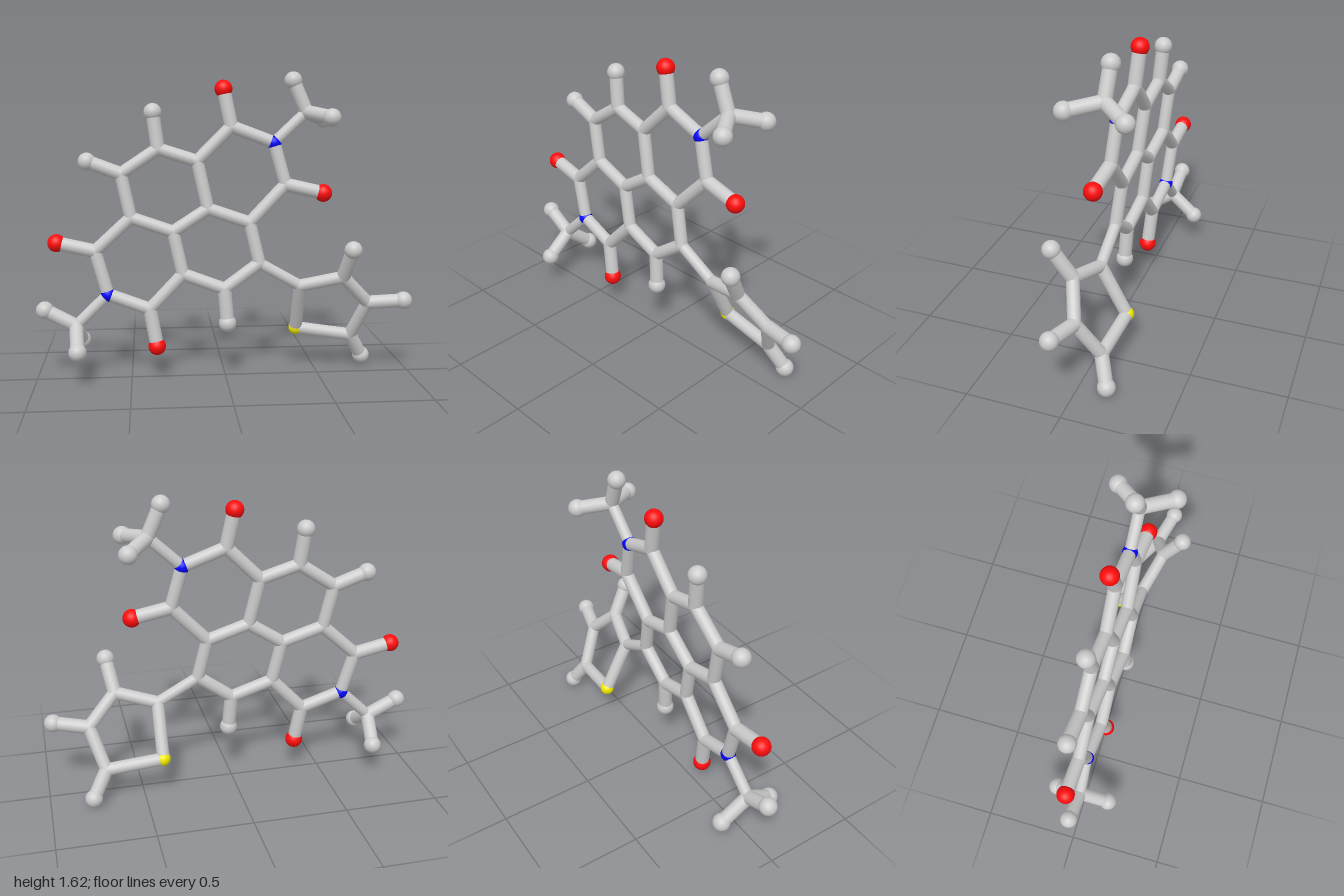
import * as THREE from 'three';

// Atom positions, grouped by kind
const joints = {
  c5: [0.035, 1.335, -0.04], c6: [0.32, 1.03, -0.015], c7: [0.13, 0.83, -0.005],
  c8: [-0.09, 0.905, -0.015], c9: [-0.145, 1.155, -0.035], c10: [-0.35, 1.22, -0.045],
  c11: [-0.545, 1.09, -0.045], c12: [-0.495, 0.86, -0.03], c13: [-0.275, 0.785, -0.015],
  c14: [-0.225, 0.56, 0], c15: [-0.005, 0.48, 0.015], c16: [0.18, 0.615, 0.012],
  c17: [-0.685, 0.685, -0.03], c18: [-0.4, 0.375, 0],
  m1: [0.43, 1.41, -0.03], m2: [-0.79, 0.29, -0.01],
  ta: [0.4, 0.49, 0.015], tb: [0.62, 0.545, 0.075], tc: [0.77, 0.39, 0.01], td: [0.7, 0.185, -0.1],
};
const nitrogens = { n1: [0.26, 1.25, -0.03], n2: [-0.62, 0.455, -0.015] };
const sulfurs = { s: [0.4, 0.225, -0.125] };
const oxygens = {
  o5: [-0.005, 1.53, -0.053], o6: [0.52, 0.985, 0], o17: [-0.885, 0.73, -0.037], o18: [-0.365, 0.175, 0.014],
};
const hydrogens = {
  h10: [-0.375, 1.41, -0.058], h11: [-0.72, 1.155, -0.055], h15: [0.01, 0.295, 0.025],
  h1a: [0.36, 1.573, -0.037], h1b: [0.535, 1.385, 0.13], h1c: [0.545, 1.37, -0.172],
  h2a: [-0.953, 0.375, -0.02], h2b: [-0.775, 0.188, 0.145], h2c: [-0.77, 0.175, -0.155],
  htb: [0.65, 0.705, 0.17], htc: [0.952, 0.41, 0.06], htd: [0.777, 0.052, -0.152],
};

// Bonds by kind: rings, thin links between groups, and outward stubs
const rings = [
  ['c7', 'c8', 'c13', 'c14', 'c15', 'c16'], ['c8', 'c9', 'c10', 'c11', 'c12', 'c13'],
  ['c5', 'n1', 'c6', 'c7', 'c8', 'c9'], ['c12', 'c17', 'n2', 'c18', 'c14', 'c13'],
  ['ta', 'tb', 'tc', 'td', 's'],
];
const links = [['n1', 'm1'], ['n2', 'm2'], ['c16', 'ta']];
const stubs = [
  ['c5', 'o5'], ['c6', 'o6'], ['c17', 'o17'], ['c18', 'o18'],
  ['c10', 'h10'], ['c11', 'h11'], ['c15', 'h15'], ['tb', 'htb'], ['tc', 'htc'], ['td', 'htd'],
  ...['a', 'b', 'c'].flatMap((k) => [['m1', 'h1' + k], ['m2', 'h2' + k]]),
];

export function createModel() {
  const model = new THREE.Group();
  const grey = new THREE.MeshStandardMaterial({ color: 0xcccccc });
  const red = new THREE.MeshStandardMaterial({ color: 0xff0d0d });
  const blue = new THREE.MeshStandardMaterial({ color: 0x0505ff });
  const yellow = new THREE.MeshStandardMaterial({ color: 0xf0e800 });
  const atoms = {};

  // Balls of one kind
  const addAtoms = (set, name, radius, material) => {
    const geometry = new THREE.SphereGeometry(radius, 24, 16);
    for (const [key, p] of Object.entries(set)) {
      const ball = new THREE.Mesh(geometry, material);
      ball.name = name;
      ball.position.set(...p);
      atoms[key] = ball.position;
      model.add(ball);
    }
  };
  addAtoms(joints, 'carbonJoint', 0.034, grey);
  addAtoms(nitrogens, 'nitrogen', 0.039, blue);
  addAtoms(sulfurs, 'sulfur', 0.039, yellow);
  addAtoms(oxygens, 'oxygen', 0.047, red);
  addAtoms(hydrogens, 'hydrogen', 0.047, grey);

  // Rod between two atoms
  const up = new THREE.Vector3(0, 1, 0);
  const addBond = (a, b, name, radius) => {
    const axis = atoms[b].clone().sub(atoms[a]);
    const rod = new THREE.Mesh(new THREE.CylinderGeometry(radius, radius, axis.length(), 20, 1, true), grey);
    rod.name = name;
    rod.position.copy(atoms[a]).addScaledVector(axis, 0.5);
    rod.quaternion.setFromUnitVectors(up, axis.normalize());
    model.add(rod);
  };

  // Ring bonds, each shared edge built once
  const done = new Set();
  for (const ring of rings) {
    ring.forEach((a, i) => {
      const b = ring[(i + 1) % ring.length];
      const id = [a, b].sort().join('-');
      if (!done.has(id)) addBond(a, b, 'ringBond', 0.034);
      done.add(id);
    });
  }
  for (const [a, b] of links) addBond(a, b, 'linkBond', 0.03);
  for (const [a, b] of stubs) addBond(a, b, 'stubBond', 0.037);

  return model;
}
